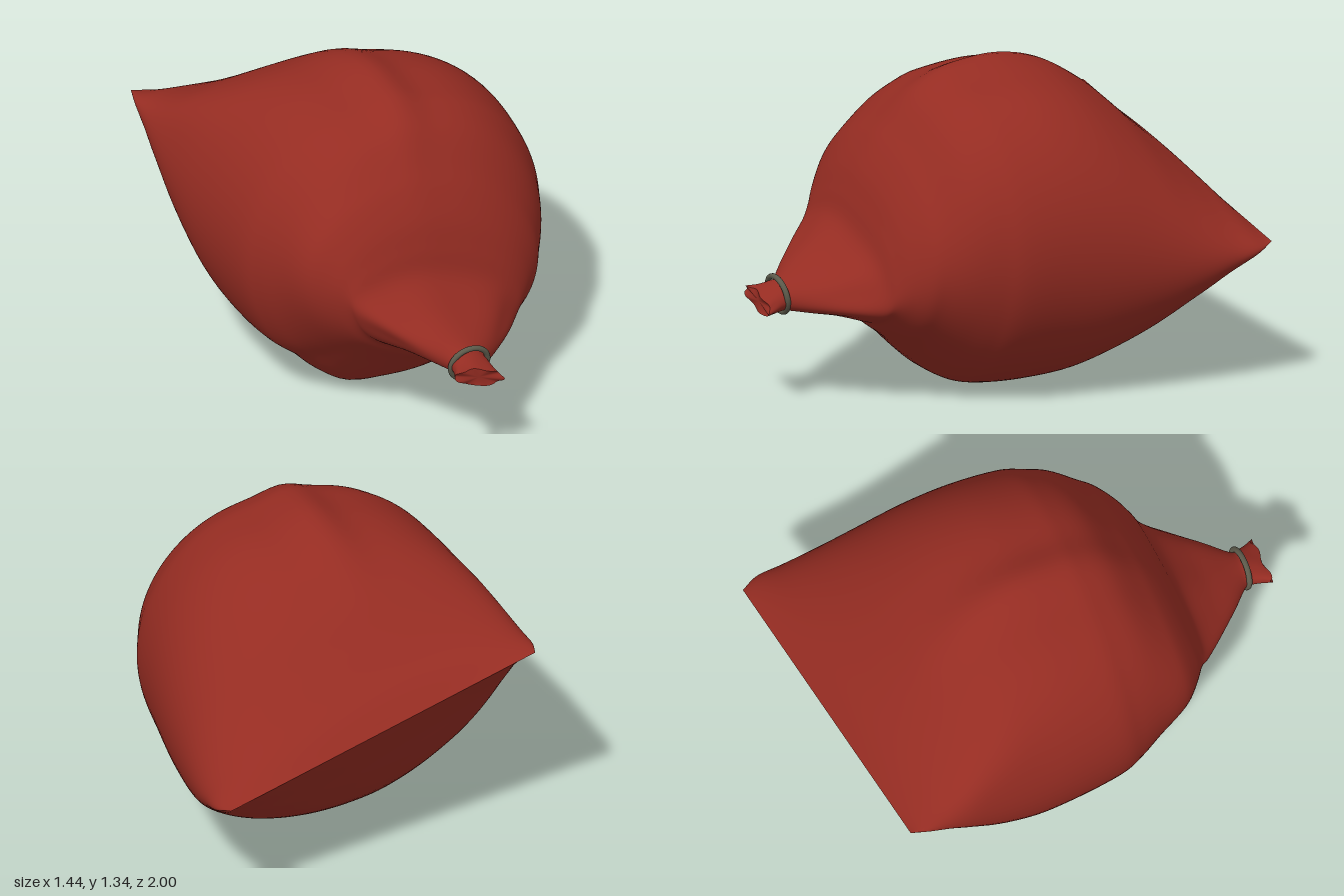
import * as THREE from 'three';

// Cross-sections from back seam to tied neck: [z, centre x, centre y, half width, half height]
const SECTIONS = [
  [-0.93, -0.01, 0.79, 0.705, 0], [-0.85, 0, 0.77, 0.735, 0.10], [-0.75, 0, 0.74, 0.74, 0.21],
  [-0.65, 0, 0.71, 0.74, 0.325], [-0.5, 0, 0.68, 0.73, 0.483], [-0.3, 0, 0.67, 0.715, 0.615],
  [-0.1, 0, 0.672, 0.695, 0.662], [0.1, 0, 0.665, 0.67, 0.652], [0.2, 0, 0.665, 0.635, 0.62],
  [0.3, 0, 0.67, 0.595, 0.55], [0.4, -0.01, 0.655, 0.55, 0.445], [0.46, -0.01, 0.64, 0.515, 0.38],
  [0.52, -0.01, 0.61, 0.45, 0.305], [0.56, -0.01, 0.575, 0.4, 0.23], [0.6, -0.02, 0.53, 0.36, 0.165],
  [0.7, -0.02, 0.5, 0.27, 0.11], [0.8, -0.02, 0.475, 0.175, 0.08], [0.88, -0.02, 0.455, 0.09, 0.06],
  [0.91, -0.02, 0.45, 0.085, 0.055], [0.95, -0.02, 0.442, 0.095, 0.047], [0.99, -0.02, 0.437, 0.112, 0.036],
];
const TILT = -0.272; // the flat seam leans down toward the left
const AROUND = 120, RINGS = 120;

const bump = (v, centre, width) => Math.exp(-(((v - centre) / width) ** 2));

// Cloth folds around the section angle phi, fading along z
function foldScale(phi, z) {
  const crown = (0.085 * bump(phi, 1.84, 0.16) - 0.075 * bump(phi, 1.84, 0.45)) * bump(z, -0.02, 0.4);
  const keel = (0.035 * bump(phi, 4.66, 0.15) - 0.03 * bump(phi, 4.25, 0.14)) * bump(z, 0.05, 0.35);
  const rightCorner = 0.05 * bump(phi, 2.65, 0.3) * bump(z, -0.52, 0.28);
  const pleats = 0.03 * Math.cos(6 * phi + 0.8) * bump(z, 0.68, 0.12);
  const ruffle = 0.04 * Math.cos(7 * phi) * bump(z, 1, 0.05);
  return 1 + crown + keel + rightCorner + pleats + ruffle;
}

function sackGeometry() {
  const centres = new THREE.CatmullRomCurve3(
    SECTIONS.map(([z, x, y]) => new THREE.Vector3(x, y, z)), false, 'catmullrom', 0.5);
  const sizes = new THREE.CatmullRomCurve3(
    SECTIONS.map(([, , , a, b]) => new THREE.Vector3(a, b, 0)), false, 'catmullrom', 0.5);
  const positions = [], indices = [];
  const cos = Math.cos(TILT), sin = Math.sin(TILT);

  const addRing = (t) => {
    const c = centres.getPoint(t), s = sizes.getPoint(t);
    const slant = THREE.MathUtils.smoothstep(-c.z, 0.2, 0.93) * 0.1;
    for (let j = 0; j < AROUND; j++) {
      const phi = (j / AROUND) * Math.PI * 2;
      const k = foldScale(phi, c.z);
      const u = s.x * Math.cos(phi) * k;
      const v = Math.max(s.y, 0) * Math.sin(phi) * k;
      const x = u * cos - v * sin;
      const hem = 0.008 * Math.cos(5 * phi) * bump(c.z, 1, 0.03);
      positions.push(c.x + x, c.y + u * sin + v * cos, c.z - slant * x + hem);
    }
  };

  for (let i = 0; i <= RINGS; i++) addRing(i / RINGS);
  for (let i = 0; i < RINGS; i++) {
    for (let j = 0; j < AROUND; j++) {
      const n = (j + 1) % AROUND;
      const a = i * AROUND + j, b = i * AROUND + n;
      indices.push(a, b, a + AROUND, b, b + AROUND, a + AROUND);
    }
  }

  // Closed mouth with its own hard edge
  const start = positions.length / 3;
  addRing(1);
  positions.push(-0.02, 0.437, 0.985);
  for (let j = 0; j < AROUND; j++) {
    indices.push(start + AROUND, start + j, start + ((j + 1) % AROUND));
  }

  const geometry = new THREE.BufferGeometry();
  geometry.setAttribute('position', new THREE.Float32BufferAttribute(positions, 3));
  geometry.setIndex(indices);
  geometry.computeVertexNormals();
  return geometry;
}

export function createModel() {
  const group = new THREE.Group();
  group.name = 'tiedSack';

  const cloth = new THREE.MeshStandardMaterial({ color: 0x952c22 });
  cloth.name = 'red cloth';
  const metal = new THREE.MeshStandardMaterial({ color: 0x5c5a4b });
  metal.name = 'dull metal';

  const sack = new THREE.Mesh(sackGeometry(), cloth);
  sack.name = 'sack';
  group.add(sack);

  // Ring holding the neck shut
  const ring = new THREE.Mesh(new THREE.TorusGeometry(0.082, 0.012, 12, 48), metal);
  ring.name = 'neckRing';
  ring.position.set(-0.02, 0.456, 0.897);
  ring.rotation.x = 0.2;
  ring.scale.y = 0.93;
  group.add(ring);

  return group;
}
